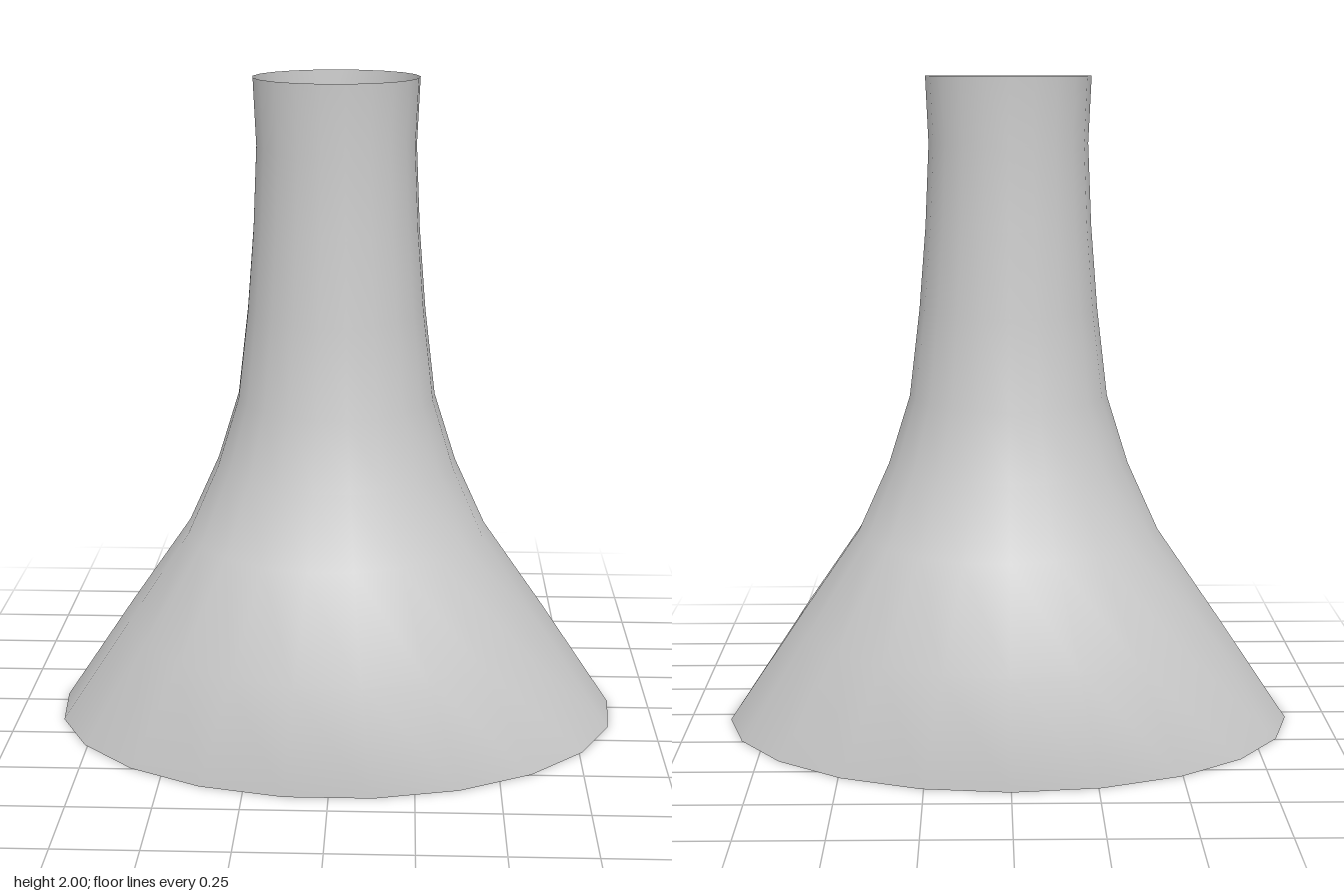
import * as THREE from 'three';
import { mergeVertices } from 'three/addons/utils/BufferGeometryUtils.js';

export function createModel() {
  const group = new THREE.Group();
  group.name = 'flaredNozzle';

  // Flared open tube: [radius, height] from the mouth up to the neck rim
  const profile = [
    [0.672, 0], [0.657, 0.33], [0.465, 0.61], [0.37, 0.82], [0.304, 1.03],
    [0.272, 1.3], [0.252, 1.55], [0.241, 1.8], [0.25, 2],
  ].map(([r, y]) => new THREE.Vector2(r, y));
  let shell = new THREE.LatheGeometry(profile, 21, Math.PI);

  // Stretch the mouth ring sideways into an oval
  const pos = shell.attributes.position;
  for (let i = 0; i < pos.count; i++) {
    if (pos.getY(i) < 0.01) pos.setX(i, pos.getX(i) * 0.877 / 0.672);
  }

  // Weld the seam so the shading is smooth all round
  shell.deleteAttribute('uv');
  shell.deleteAttribute('normal');
  shell = mergeVertices(shell, 1e-4);
  shell.computeVertexNormals();
  shell.translate(0, 0, 0.003);

  const material = new THREE.MeshStandardMaterial({ color: 0xcccccc, side: THREE.DoubleSide });
  const mesh = new THREE.Mesh(shell, material);
  mesh.name = 'nozzleShell';
  group.add(mesh);
  return group;
}
